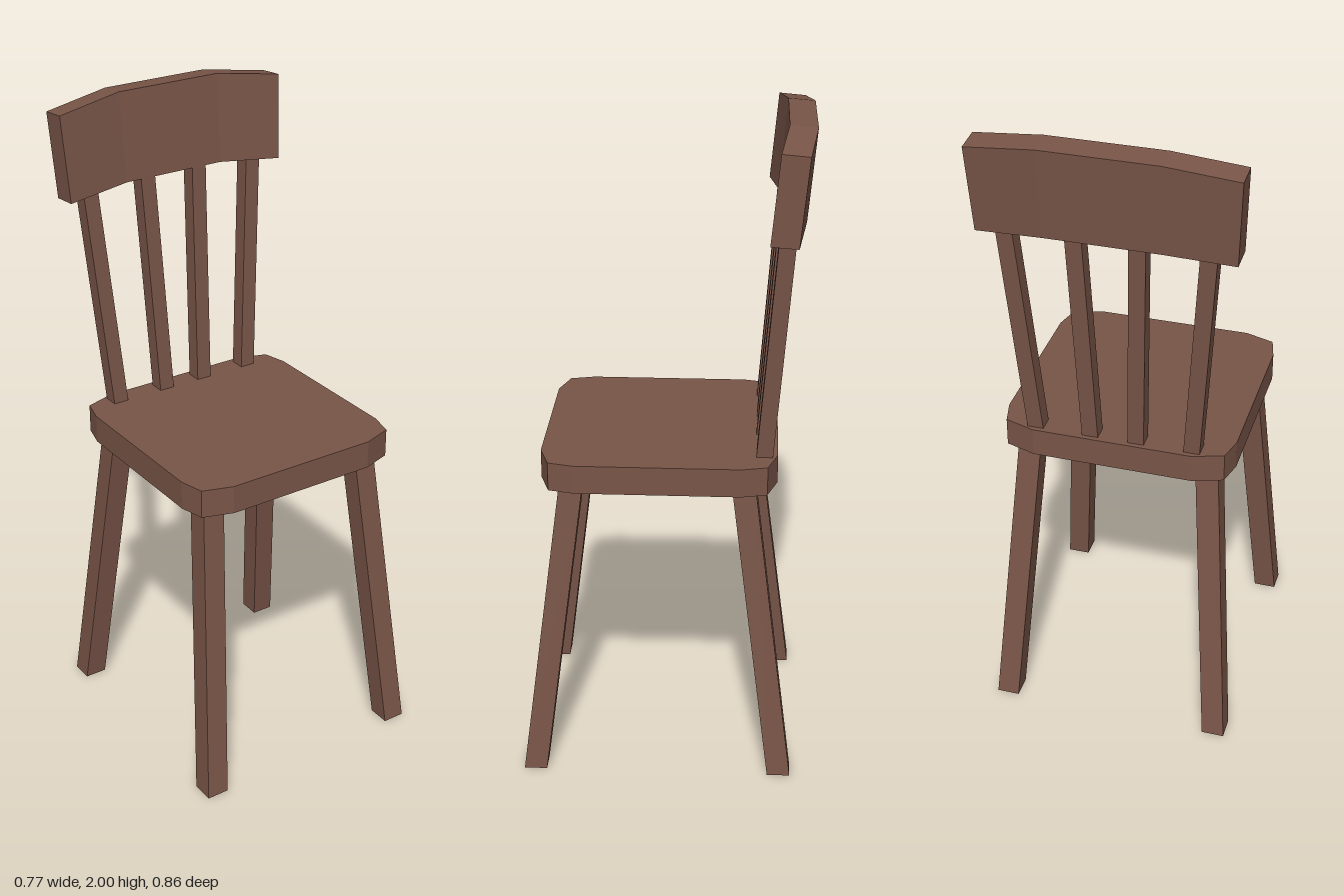
import * as THREE from 'three';

const wood = new THREE.MeshStandardMaterial({ color: 0x795548, flatShading: true });

// Skin a list of equal-length rings; rings run counter-clockwise seen from the end of the sweep.
function loft(rings) {
  const pos = [];
  const tri = (a, b, c) => pos.push(...a, ...b, ...c);
  const n = rings[0].length;
  for (let r = 0; r < rings.length - 1; r++) {
    const a = rings[r], b = rings[r + 1];
    for (let i = 0; i < n; i++) {
      const j = (i + 1) % n;
      tri(a[i], a[j], b[j]);
      tri(a[i], b[j], b[i]);
    }
  }
  const first = rings[0], last = rings[rings.length - 1];
  for (let i = 1; i < n - 1; i++) {
    tri(first[0], first[i + 1], first[i]);
    tri(last[0], last[i], last[i + 1]);
  }
  const g = new THREE.BufferGeometry();
  g.setAttribute('position', new THREE.Float32BufferAttribute(pos, 3));
  g.computeVertexNormals();
  return g;
}

// Square ring in a horizontal plane
const square = ([x, y, z], w) => [
  [x - w / 2, y, z + w / 2], [x + w / 2, y, z + w / 2],
  [x + w / 2, y, z - w / 2], [x - w / 2, y, z - w / 2],
];

// Slanted square bar from a low point to a high point
const bar = (low, high, w) => loft([square(low, w), square(high, w)]);

export function createModel() {
  const chair = new THREE.Group();
  chair.name = 'chair';
  const add = (name, geometry) => {
    const mesh = new THREE.Mesh(geometry, wood);
    mesh.name = name;
    chair.add(mesh);
    return mesh;
  };

  // Seat: slab with two-facet corners
  const corner = [[0.354, 0.246], [0.335, 0.322], [0.243, 0.352]];
  const flipped = [...corner].reverse();
  const outline = [
    ...corner,
    ...flipped.map(([x, z]) => [-x, z]),
    ...corner.map(([x, z]) => [-x, -z]),
    ...flipped.map(([x, z]) => [x, -z]),
  ].map(([x, z]) => new THREE.Vector2(x, z));
  const seat = new THREE.ExtrudeGeometry(new THREE.Shape(outline), { depth: 0.088, bevelEnabled: false });
  seat.rotateX(-Math.PI / 2);
  seat.translate(0, 0.944, 0.011);
  add('seat', seat);

  for (const [side, s] of [['left', 1], ['right', -1]]) {
    // Splayed legs
    add(side + 'FrontLeg', bar([s * 0.345, 0, 0.392], [s * 0.275, 0.946, 0.27], 0.07));
    add(side + 'BackLeg', bar([s * 0.345, 0, -0.366], [s * 0.275, 0.946, -0.243], 0.07));
    // Back spindles, running up into the top rail
    add(side + 'OuterSpindle', bar([s * 0.239, 1.03, -0.301], [s * 0.293, 1.76, -0.355], 0.049));
    add(side + 'InnerSpindle', bar([s * 0.07, 1.03, -0.301], [s * 0.092, 1.76, -0.355], 0.049));
  }

  // Top rail: three facets, bowed back and raised in the middle.
  // Section corners: front bottom, back bottom, back top, front top.
  const railSection = (sign, xLow, xHigh, yLow, yHigh, z) => [
    [sign * xLow, yLow, z],
    [sign * xLow, yLow - 0.006, z - 0.08],
    [sign * xHigh, yHigh - 0.007, z - 0.104],
    [sign * xHigh, yHigh, z - 0.024],
  ];
  const end = (s) => railSection(s, 0.371, 0.383, 1.709, 1.97, -0.301);
  const mid = (s) => railSection(s, 0.167, 0.172, 1.728, 2.0, -0.325);
  add('topRail', loft([end(-1), mid(-1), mid(1), end(1)]));

  return chair;
}
